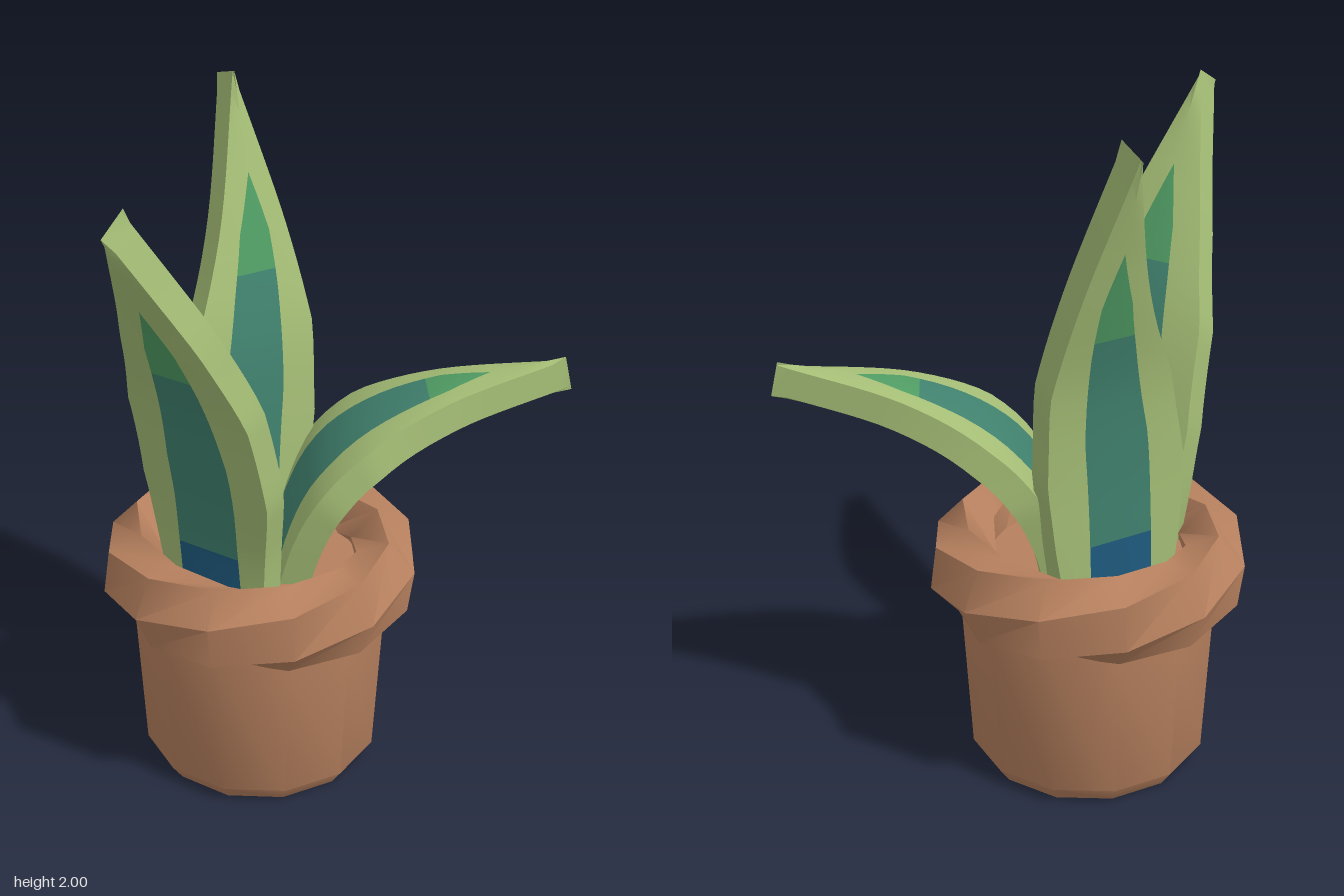
import * as THREE from 'three';
import { toCreasedNormals } from 'three/addons/utils/BufferGeometryUtils.js';

const mat = (name, color) => {
  const m = new THREE.MeshStandardMaterial({ color });
  m.name = name;
  return m;
};

// piecewise linear lookup in [key, value] pairs
function lookup(pairs, k) {
  for (let i = 1; i < pairs.length; i++) {
    const [a, va] = pairs[i - 1], [b, vb] = pairs[i];
    if (k <= b) return va + (vb - va) * (k - a) / (b - a);
  }
  return pairs[pairs.length - 1][1];
}

// Thick blade swept along a spine of [x, y, z, halfWidth], tapering to a wedge.
// Material slots: 0 edge, 1 stripe base, 2 stripe, 3 stripe tip
function leafGeometry({ spine, side, stripe, blueEnd, tealEnd }) {
  const rows = 25, h = 0.052, e = h * 0.82;
  const S = new THREE.Vector3(side[0], 0, side[1]).normalize();
  const curve = new THREE.CatmullRomCurve3(spine.map(p => new THREE.Vector3(p[0], p[1], p[2])));
  const widths = spine.map((p, i) => [i / (spine.length - 1), p[3]]);
  const stripeWidths = [[0, stripe], [0.35, stripe], [0.57, stripe * 0.68], [0.68, stripe * 0.47], [0.8, 0], [1, 0]];

  const rings = [];
  for (let i = 0; i <= rows; i++) {
    const u = i / rows;
    const P = curve.getPointAt(u);
    const N = curve.getTangentAt(u).cross(S).normalize();
    const w = lookup(widths, curve.getUtoTmapping(u));
    const s = Math.min(lookup(stripeWidths, u), w * 0.8);
    rings.push([[-s, h], [s, h], [w, e], [w, -e], [s, -h], [-s, -h], [-w, -e], [-w, e]]
      .map(([a, b]) => P.clone().addScaledVector(S, a).addScaledVector(N, b)));
  }

  const buckets = [[], [], [], []];
  const tri = new THREE.Triangle();
  const add = (slot, a, b, c) => {
    if (tri.set(a, b, c).getArea() < 1e-7) return;
    for (const p of [a, b, c]) buckets[slot].push(p.x, p.y, p.z);
  };
  for (let i = 0; i < rows; i++) {
    const u = (i + 0.5) / rows;
    const stripeSlot = u < blueEnd ? 1 : u < tealEnd ? 2 : 3;
    for (let k = 0; k < 8; k++) {
      const slot = k % 4 === 0 ? stripeSlot : 0;
      const n = (k + 1) % 8;
      add(slot, rings[i][k], rings[i + 1][k], rings[i + 1][n]);
      add(slot, rings[i][k], rings[i + 1][n], rings[i][n]);
    }
  }

  const geo = new THREE.BufferGeometry();
  geo.setAttribute('position', new THREE.Float32BufferAttribute(buckets.flat(), 3));
  let start = 0;
  buckets.forEach((b, slot) => {
    geo.addGroup(start, b.length / 3, slot);
    start += b.length / 3;
  });
  return toCreasedNormals(geo, 0.7);
}

// Ring with a hexagonal section that twists as it goes round
function twistedRim(R, radial, vertical) {
  const sides = 6, segments = 12, steps = 4;
  const geo = new THREE.TorusGeometry(R, 0.1, sides, segments);
  const pos = geo.attributes.position;
  for (let j = 0, n = 0; j <= sides; j++) {
    for (let i = 0; i <= segments; i++, n++) {
      const around = (i / segments) * Math.PI * 2;
      const a = ((j + steps * i / segments) / sides) * Math.PI * 2;
      const r = R + radial * Math.cos(a);
      pos.setXYZ(n, r * Math.cos(around), r * Math.sin(around), vertical * Math.sin(a));
    }
  }
  geo.rotateX(-Math.PI / 2);
  return toCreasedNormals(geo, 0.9);
}

export function createModel() {
  const model = new THREE.Group();
  model.name = 'pottedPlant';
  const clay = mat('terracotta', 0xb6805e);
  const leafMats = [
    mat('leafGreen', 0xa5be76),
    mat('deepBlue', 0x1f5c80),
    mat('teal', 0x41826f),
    mat('jade', 0x509c64),
  ];
  const add = (parent, name, geo, material) => {
    const m = new THREE.Mesh(geo, material);
    m.name = name;
    parent.add(m);
    return m;
  };

  // Pot body with its soil surface, and the rim
  const pot = new THREE.Group();
  pot.name = 'pot';
  pot.position.set(-0.015, 0, -0.05);
  model.add(pot);
  const profile = [[0, 0], [0.315, 0], [0.35, 0.05], [0.375, 0.5], [0.375, 0.6]]
    .map(p => new THREE.Vector2(...p));
  add(pot, 'potBody', toCreasedNormals(new THREE.LatheGeometry(profile, 12), 0.65), clay);
  const soil = new THREE.CircleGeometry(0.36, 12).rotateX(-Math.PI / 2);
  add(pot, 'soil', soil, clay).position.y = 0.65;
  add(pot, 'rim', twistedRim(0.367, 0.102, 0.132), clay).position.y = 0.63;

  // Three leaves: spine [x, y, z, halfWidth], sideways direction, stripe
  // half width, and where the stripe colours change along the length
  const leaves = {
    rightLeaf: {
      spine: [
        [-0.185, 0.62, -0.02, 0.165], [-0.2, 0.8, -0.02, 0.185], [-0.235, 1.0, 0, 0.207],
        [-0.31, 1.28, 0.02, 0.195], [-0.43, 1.54, 0.06, 0.125], [-0.63, 1.91, 0.11, 0],
      ],
      side: [0.25, 0.97], stripe: 0.1, blueEnd: 0.12, tealEnd: 0.6,
    },
    backLeaf: {
      spine: [
        [0.02, 0.62, -0.185, 0.18], [0.03, 0.8, -0.19, 0.205], [0.045, 1.0, -0.195, 0.22],
        [0.085, 1.28, -0.215, 0.19], [0.14, 1.57, -0.285, 0.105], [0.18, 1.98, -0.41, 0],
      ],
      side: [0.97, 0.2], stripe: 0.1, blueEnd: 0.12, tealEnd: 0.6,
    },
    frontLeaf: {
      spine: [
        [0.055, 0.62, 0, 0.165], [0.085, 0.78, 0.025, 0.195], [0.135, 0.92, 0.065, 0.22],
        [0.225, 1.04, 0.14, 0.2], [0.38, 1.14, 0.27, 0.12], [0.66, 1.22, 0.495, 0],
      ],
      side: [-0.64, 0.77], stripe: 0.115, blueEnd: 0.08, tealEnd: 0.64,
    },
  };
  for (const [name, spec] of Object.entries(leaves)) {
    add(model, name, leafGeometry(spec), leafMats);
  }
  return model;
}
